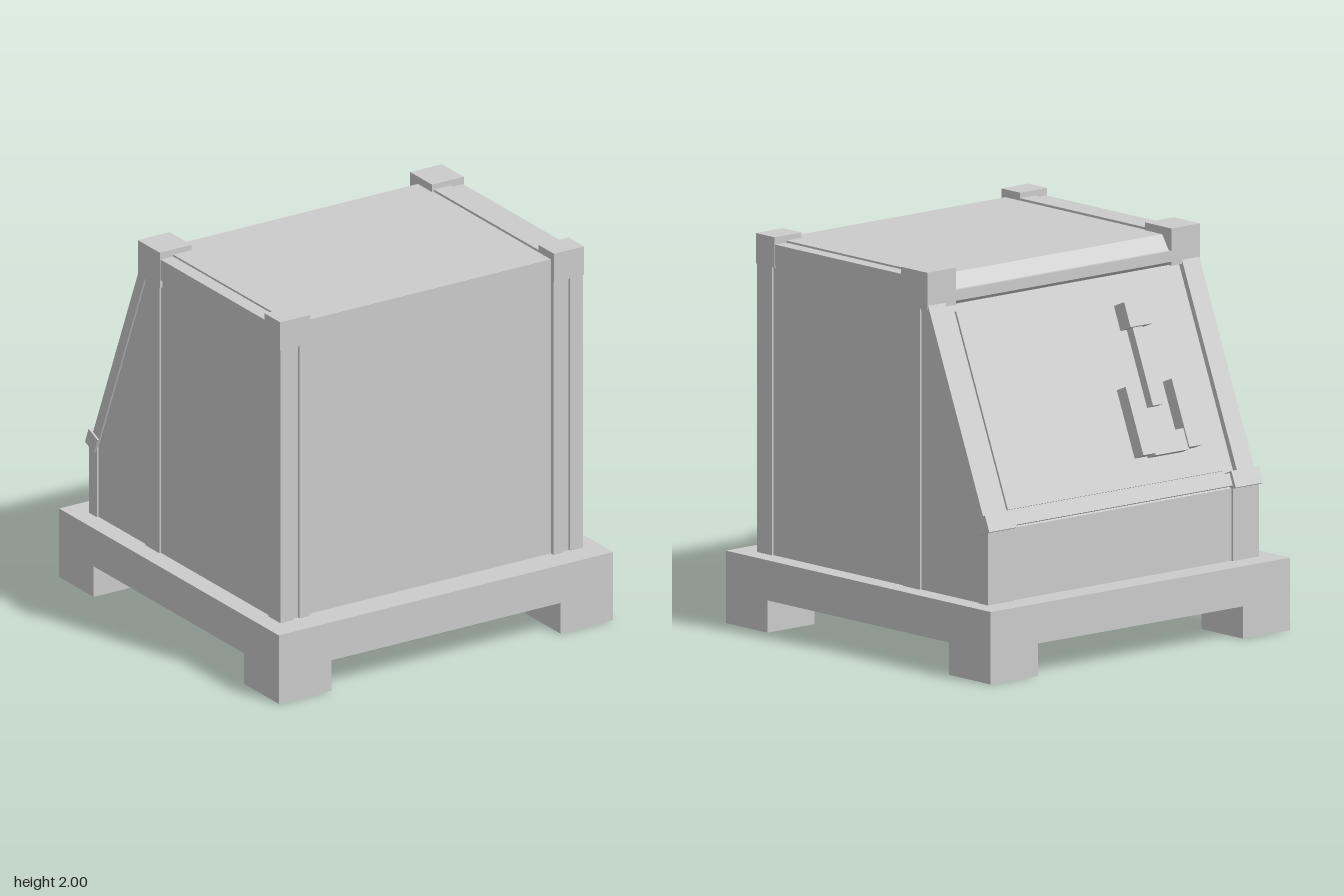
import * as THREE from 'three';

const material = new THREE.MeshStandardMaterial({ color: 0xcccccc, flatShading: true });

export function createModel() {
  const model = new THREE.Group();
  model.name = 'cabinet';

  const add = (name, geometry, parent = model) => {
    const mesh = new THREE.Mesh(geometry, material);
    mesh.name = name;
    parent.add(mesh);
    return mesh;
  };

  // Box given by its limits on each axis
  const box = (name, [x0, x1], [y0, y1], [z0, z1], parent = model) => {
    const g = new THREE.BoxGeometry(x1 - x0, y1 - y0, z1 - z0);
    g.translate((x0 + x1) / 2, (y0 + y1) / 2, (z0 + z1) / 2);
    return add(name, g, parent);
  };

  // The same box on both sides of x = 0
  const pair = (name, [x0, x1], y, z, parent = model) => {
    box(name + 'Left', [x0, x1], y, z, parent);
    box(name + 'Right', [-x1, -x0], y, z, parent);
  };

  const square = (r, Type) => new Type([
    new THREE.Vector2(-r, -r), new THREE.Vector2(r, -r),
    new THREE.Vector2(r, r), new THREE.Vector2(-r, r),
  ]);

  // Horizontal square layer with a square opening
  const frame = (name, outer, inner, y0, y1) => {
    const shape = square(outer, THREE.Shape);
    shape.holes.push(square(inner, THREE.Path));
    const g = new THREE.ExtrudeGeometry(shape, { depth: y1 - y0, bevelEnabled: false });
    g.rotateX(-Math.PI / 2).translate(0, y0, 0);
    add(name, g);
  };

  // Base plate with a stepped recess underneath
  box('basePlate', [-1, 1], [0.29, 0.37], [-1, 1]);
  frame('baseRecessInner', 1, 0.26, 0.19, 0.29);
  frame('baseRecessOuter', 1, 0.375, 0.165, 0.19);
  frame('baseRecessRim', 0.44, 0.375, 0.16, 0.165);

  // Corner feet
  for (const z of [[0.685, 1], [-1, -0.685]]) pair('foot', [0.685, 1], [0, 0.165], z);

  // Body: side profile (z, y) extruded across the width
  const profile = [
    [0.845, 0.37], [0.845, 1.96], [-0.35, 1.96], [-0.4, 1.885], [-0.42, 1.885],
    [-0.42, 1.83], [-0.396, 1.81], [-0.832, 0.75], [-0.86, 0.74], [-0.86, 0.37],
  ].map(([z, y]) => new THREE.Vector2(-z, y));
  const body = new THREE.ExtrudeGeometry(new THREE.Shape(profile), { depth: 1.79, bevelEnabled: false });
  body.rotateY(Math.PI / 2).translate(-0.895, 0, 0);
  add('body', body);

  // Front corner posts, with a shallow groove
  pair('frontPostInner', [0.73, 0.79], [0.37, 1.85], [0.82, 0.87]);
  pair('frontPostOuter', [0.83, 0.905], [0.37, 1.85], [0.76, 0.87]);
  pair('frontPostGroove', [0.79, 0.83], [0.37, 1.85], [0.82, 0.855]);

  // Side posts and low rear posts
  pair('sidePost', [0.86, 0.905], [0.37, 1.85], [-0.36, -0.23]);
  pair('rearPost', [0.73, 0.905], [0.37, 0.76], [-0.872, -0.8]);

  // Top rails and corner caps
  pair('topRailInner', [0.73, 0.83], [1.85, 1.972], [-0.25, 0.76]);
  pair('topRailOuter', [0.83, 0.905], [1.85, 1.962], [-0.25, 0.76]);
  pair('frontCap', [0.73, 0.91], [1.845, 2], [0.735, 0.875]);
  pair('rearCap', [0.72, 0.91], [1.81, 2], [-0.42, -0.22]);

  // Sloping back: local y runs up the slope, local z points outward
  const slope = new THREE.Group();
  slope.name = 'slopingBack';
  const up = new THREE.Vector3(0, 0.925, 0.38).normalize();
  const out = new THREE.Vector3(0, 0.38, -0.925).normalize();
  slope.quaternion.setFromRotationMatrix(
    new THREE.Matrix4().makeBasis(new THREE.Vector3(-1, 0, 0), up, out));
  slope.position.set(0, 1.83, -0.42);
  model.add(slope);

  pair('slopeRail', [0.79, 0.905], [-1.12, 0], [-0.06, 0], slope);
  box('slopePanel', [-0.72, 0.72], [-1.08, -0.05], [-0.05, -0.018], slope);
  box('lowerBar', [-0.75, 0.75], [-1.165, -1.1], [-0.06, 0.01], slope);
  pair('lowerCap', [0.73, 0.915], [-1.18, -1.093], [-0.06, 0.027], slope);

  // Raised latch: block, stem and a U-shaped catch
  const latch = new THREE.Group();
  latch.name = 'latch';
  latch.position.x = 0.37;
  slope.add(latch);
  box('latchBlock', [-0.075, 0.075], [-0.295, -0.165], [-0.03, 0.065], latch);
  box('latchStem', [-0.033, 0.033], [-0.7, -0.29], [-0.03, 0.03], latch);
  pair('catchArm', [0.11, 0.197], [-0.94, -0.585], [-0.03, 0.054], latch);
  box('catchBridge', [-0.112, 0.112], [-0.95, -0.84], [-0.03, 0.045], latch);

  return model;
}
